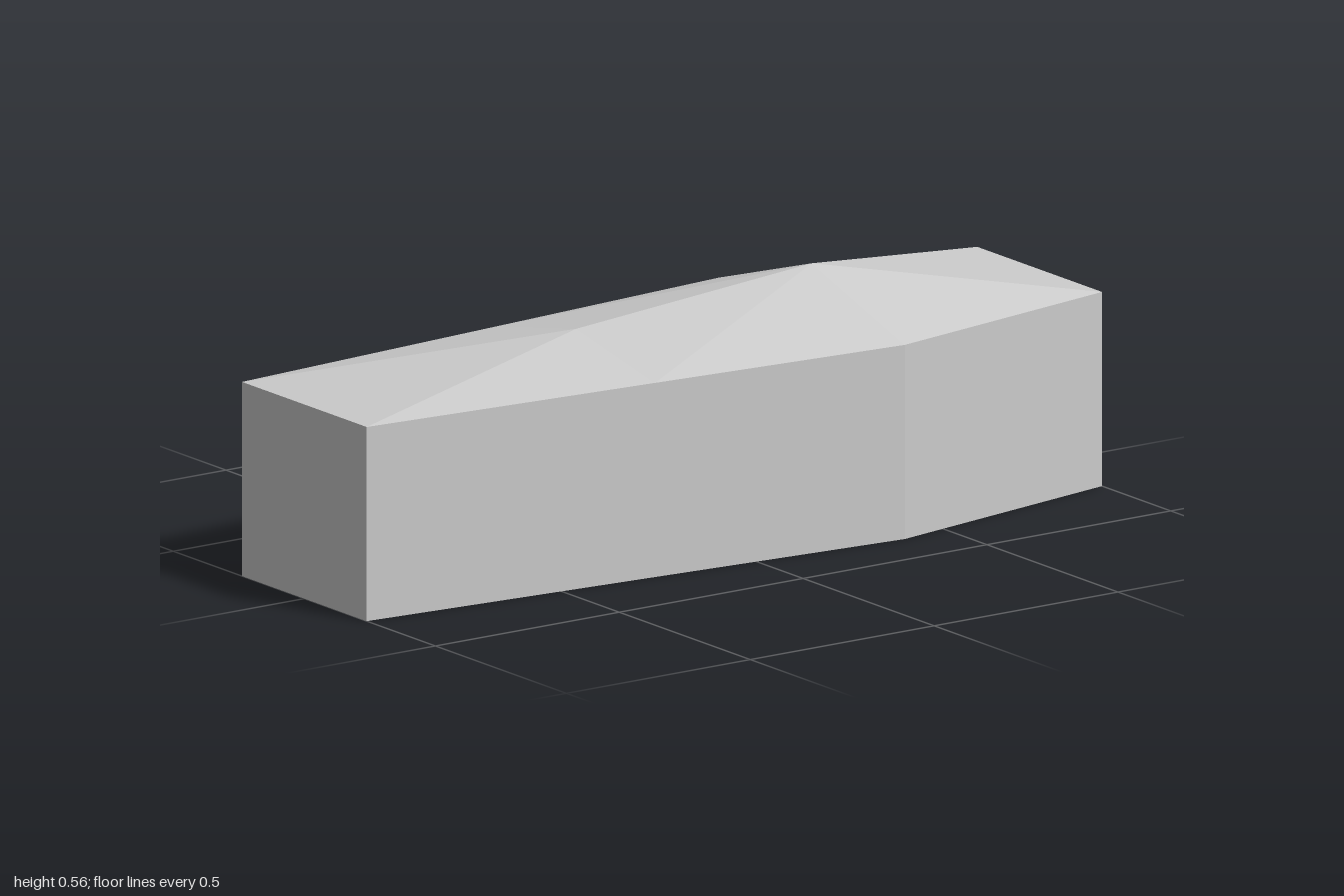
import * as THREE from 'three';

const EDGE_Y = 0.445;
// lengthwise stations: [z, half width, ridge height]
const STATIONS = [
  [-1, 0.238, EDGE_Y],
  [-0.38, 0.355, 0.555],
  [0.26, 0.3, 0.504],
  [1, 0.238, EDGE_Y],
];

// Six-sided box, widest at the shoulders
function bodyGeometry() {
  const side = STATIONS.map(([z, w]) => new THREE.Vector2(w, -z));
  const other = STATIONS.map(([z, w]) => new THREE.Vector2(-w, -z)).reverse();
  const outline = new THREE.Shape([...side, ...other]);
  const geometry = new THREE.ExtrudeGeometry(outline, { depth: EDGE_Y, bevelEnabled: false });
  return geometry.rotateX(-Math.PI / 2);
}

// Shallow faceted roof: two mirrored slopes meeting at the ridge
function lidGeometry() {
  const points = [];
  const triangle = (mirror, a, b, c) => {
    for (const [x, y, z] of mirror < 0 ? [a, c, b] : [a, b, c]) points.push(x * mirror, y, z);
  };
  for (let i = 0; i < STATIONS.length - 1; i++) {
    const [za, wa, ya] = STATIONS[i];
    const [zb, wb, yb] = STATIONS[i + 1];
    const ridgeA = [0, ya, za], ridgeB = [0, yb, zb];
    const sideA = [wa, EDGE_Y, za], sideB = [wb, EDGE_Y, zb];
    for (const mirror of [1, -1]) {
      // each fold runs from the higher ridge point to the opposite side
      if (ya > yb) {
        triangle(mirror, ridgeA, ridgeB, sideB);
        triangle(mirror, ridgeA, sideB, sideA);
      } else {
        triangle(mirror, ridgeA, ridgeB, sideA);
        triangle(mirror, ridgeB, sideB, sideA);
      }
    }
  }
  const geometry = new THREE.BufferGeometry();
  geometry.setAttribute('position', new THREE.Float32BufferAttribute(points, 3));
  geometry.computeVertexNormals();
  return geometry;
}

export function createModel() {
  const group = new THREE.Group();
  group.name = 'coffin';
  const material = new THREE.MeshStandardMaterial({ color: 0xcccccc, flatShading: true });

  const body = new THREE.Mesh(bodyGeometry(), material);
  body.name = 'body';
  const lid = new THREE.Mesh(lidGeometry(), material);
  lid.name = 'lid';
  group.add(body, lid);
  return group;
}
